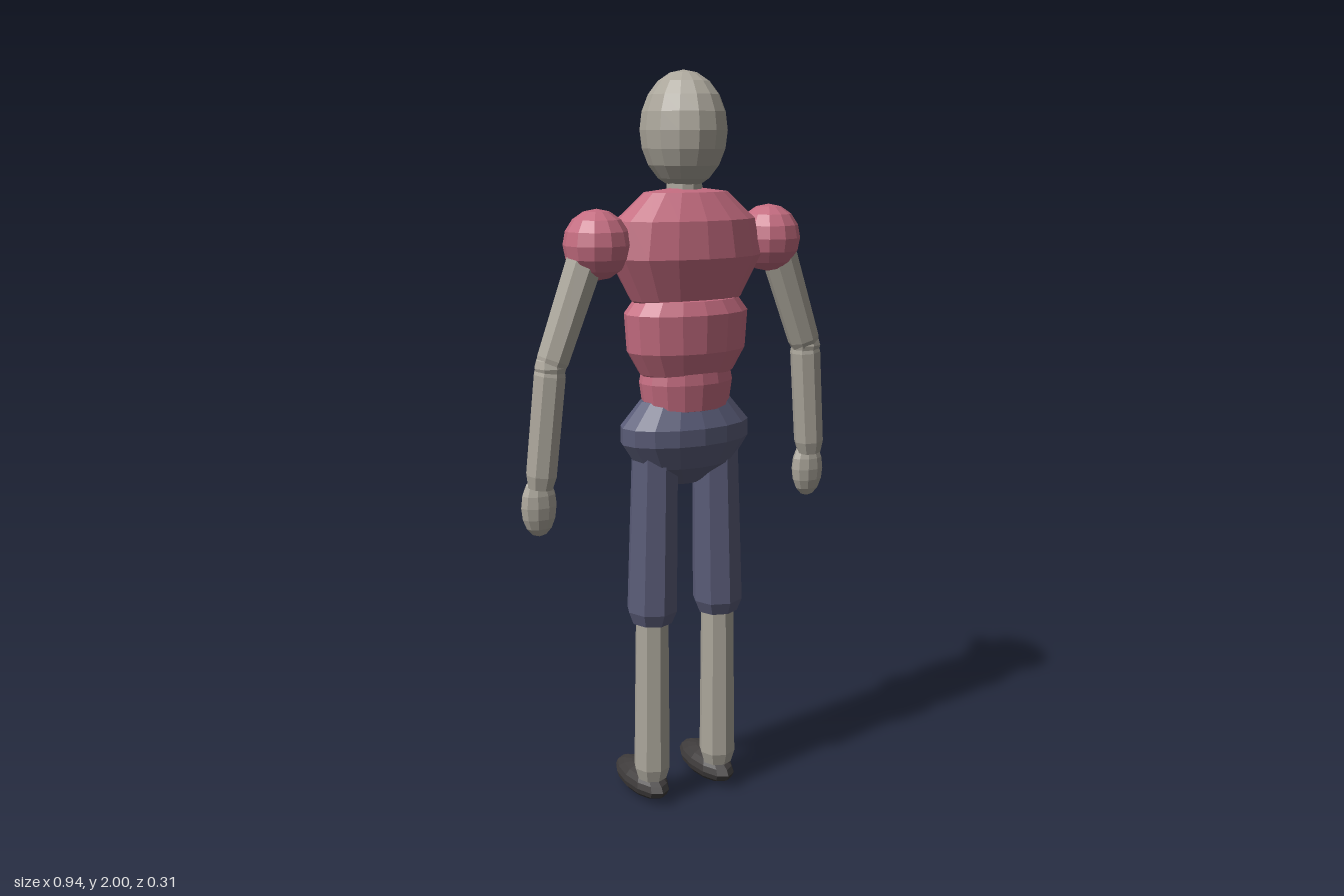
import * as THREE from 'three';

const paint = (name, color) => {
  const m = new THREE.MeshStandardMaterial({ color, flatShading: true });
  m.name = name;
  return m;
};

export function createModel() {
  const grey = paint('warm grey', 0xaba69b);
  const pink = paint('shirt pink', 0xc46c80);
  const blue = paint('trouser blue', 0x5a5c78);
  const dark = paint('shoe charcoal', 0x3e3b3b);
  const model = new THREE.Group();
  model.name = 'figure';

  const add = (name, geometry, material, parent = model) => {
    const mesh = new THREE.Mesh(geometry, material);
    mesh.name = name;
    parent.add(mesh);
    return mesh;
  };

  // Faceted ellipsoid
  const ball = (name, material, [x, y, z], [rx, ry, rz], parent, segs = 12, rings = 8) => {
    const g = new THREE.SphereGeometry(1, segs, rings).scale(rx, ry, rz).translate(x, y, z);
    return add(name, g, material, parent);
  };

  // Stack of elliptical rings [half width, y], flattened front to back
  const trunk = (name, material, rings, depth, z) => {
    const pts = rings.map(([r, y]) => new THREE.Vector2(r, y));
    const g = new THREE.LatheGeometry(pts, 16).scale(1, 1, depth).translate(0, 0, z);
    return add(name, g, material);
  };

  // Eight-sided limb from a to b with bevelled, closed ends
  const limb = (name, material, a, b, ra, rb, parent) => {
    const from = new THREE.Vector3(...a);
    const dir = new THREE.Vector3(...b).sub(from);
    const len = dir.length();
    const pts = [[0, 0], [ra * 0.8, 0], [ra, 0.035], [rb, len - 0.035], [rb * 0.8, len], [0, len]]
      .map(([r, y]) => new THREE.Vector2(r, y));
    const mesh = add(name, new THREE.LatheGeometry(pts, 8), material, parent);
    mesh.position.copy(from);
    mesh.quaternion.setFromUnitVectors(new THREE.Vector3(0, 1, 0), dir.normalize());
    return mesh;
  };

  // Head
  ball('head', grey, [0, 1.85, 0.02], [0.11, 0.15, 0.128], model, 14, 10);
  ball('nose', grey, [0, 1.856, -0.115], [0.026, 0.045, 0.028], model, 10, 8);
  add('neck', new THREE.CylinderGeometry(0.045, 0.05, 0.12, 10).translate(0, 1.7, 0.025), grey);

  // Torso
  trunk('chest', pink, [[0, 1.36], [0.1, 1.375], [0.16, 1.42], [0.22, 1.53], [0.2, 1.625],
    [0.12, 1.695], [0, 1.71]], 0.55, 0.033);
  trunk('abdomen', pink, [[0, 1.19], [0.1, 1.205], [0.135, 1.225], [0.17, 1.285], [0.177, 1.385],
    [0.15, 1.42], [0, 1.44]], 0.63, 0.035);
  trunk('waist', pink, [[0, 1.1], [0.123, 1.13], [0.133, 1.2], [0.125, 1.24], [0, 1.26]], 0.7, 0.033);
  trunk('hips', blue, [[0, 0.915], [0.04, 0.918], [0.145, 0.975], [0.188, 1.04], [0.188, 1.085],
    [0.13, 1.152], [0, 1.16]], 0.585, 0.028);

  // Arms and legs, mirrored
  for (const s of [-1, 1]) {
    const side = s > 0 ? 'left' : 'right';
    const arm = new THREE.Group();
    arm.name = `${side}Arm`;
    const leg = new THREE.Group();
    leg.name = `${side}Leg`;
    model.add(arm, leg);

    ball('shoulder', pink, [s * 0.257, 1.568, 0.03], [0.087, 0.09, 0.087], arm);
    limb('upperArm', grey, [s * 0.275, 1.57, 0.03], [s * 0.395, 1.25, 0.025], 0.05, 0.044, arm);
    ball('elbow', grey, [s * 0.39, 1.265, 0.025], [0.043, 0.04, 0.043], arm, 8, 6);
    limb('forearm', grey, [s * 0.388, 1.28, 0.025], [s * 0.42, 0.95, 0.012], 0.043, 0.042, arm);
    ball('hand', grey, [s * 0.421, 0.9, 0.003], [0.05, 0.082, 0.033], arm, 10, 8);

    limb('thigh', blue, [s * 0.105, 0.535, 0.03], [s * 0.092, 1.08, 0.03], 0.071, 0.064, leg);
    limb('shin', grey, [s * 0.107, 0.07, 0.03], [s * 0.104, 0.57, 0.03], 0.052, 0.047, leg);
    ball('shoe', dark, [s * 0.107, 0.043, -0.031], [0.056, 0.043, 0.127], leg);
  }
  return model;
}
